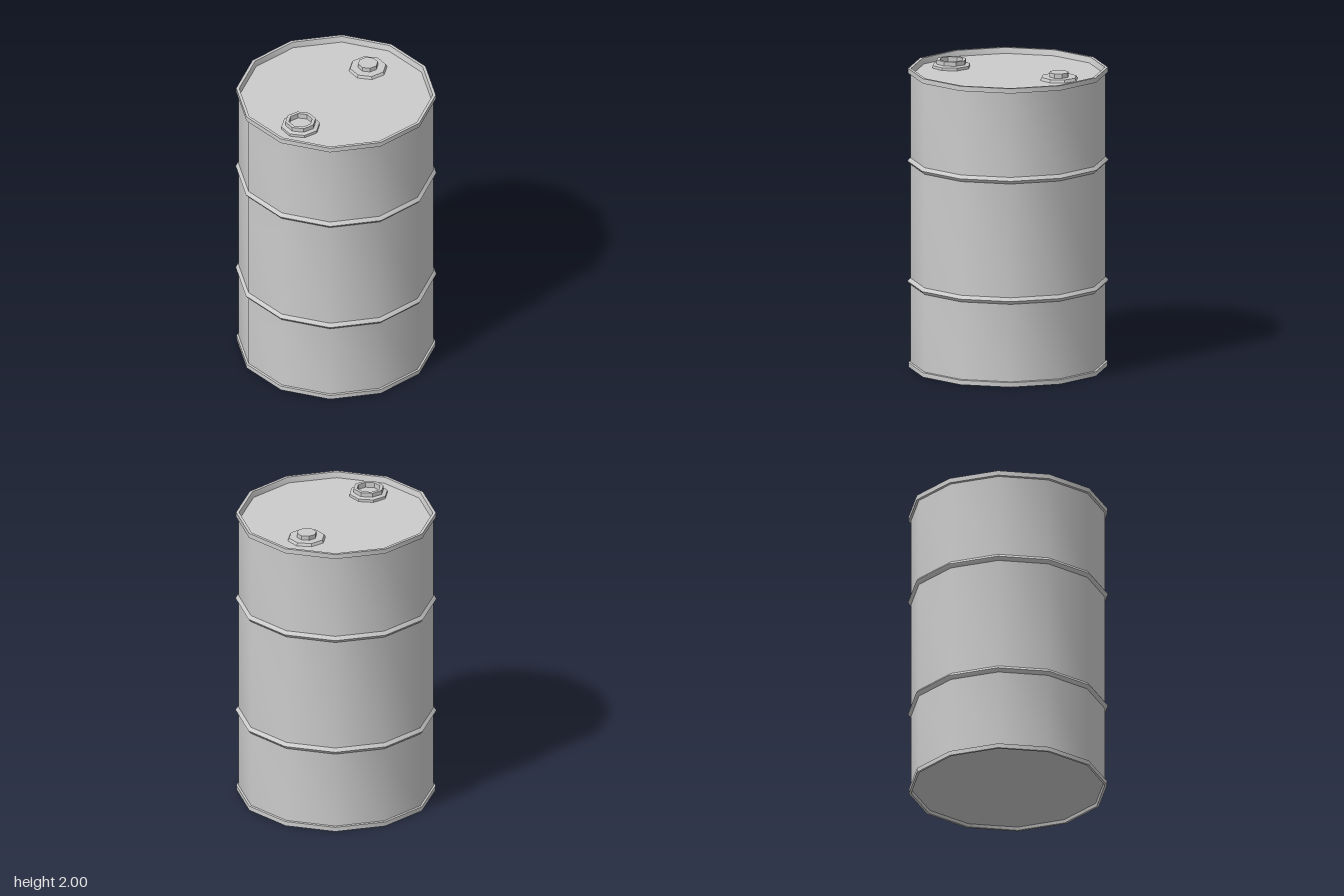
import * as THREE from 'three';
import { toCreasedNormals } from 'three/addons/utils/BufferGeometryUtils.js';

const metal = new THREE.MeshStandardMaterial({ color: 0xcccccc });

// Turns a [radius, height] profile, listed from the bottom up the outside
function turned(name, profile, sides) {
  const points = profile.map(([r, y]) => new THREE.Vector2(r, y));
  const geometry = toCreasedNormals(new THREE.LatheGeometry(points, sides), 0.7);
  const mesh = new THREE.Mesh(geometry, metal);
  mesh.name = name;
  return mesh;
}

// Rolled hoop swelling out of the drum wall
const hoop = (y) => [[0.635, y - 0.022], [0.648, y - 0.01], [0.654, y], [0.648, y + 0.01], [0.635, y + 0.022]];

export function createModel() {
  const drum = new THREE.Group();
  drum.name = 'drum';

  // Wall with recessed base, chimes at both ends and two hoops
  drum.add(turned('body', [
    [0, 0.02], [0.625, 0.02], [0.632, 0], [0.648, 0], [0.648, 0.03], [0.635, 0.033],
    ...hoop(0.57), ...hoop(1.37),
    [0.635, 1.95], [0.65, 1.953], [0.65, 1.985], [0.63, 1.985], [0.621, 1.947], [0, 1.947],
  ], 12));

  // Open filler neck near the front
  const filler = turned('fillerNeck', [
    [0.127, 1.945], [0.127, 1.965], [0.1, 1.972], [0.1, 2],
    [0.077, 2], [0.077, 1.965], [0, 1.965],
  ], 8);
  filler.position.z = 0.418;
  drum.add(filler);

  // Small closed vent plug near the back
  const vent = turned('ventPlug', [
    [0.127, 1.945], [0.118, 1.966], [0.065, 1.966], [0.065, 1.995], [0, 1.995],
  ], 8);
  vent.position.z = -0.377;
  drum.add(vent);

  return drum;
}
